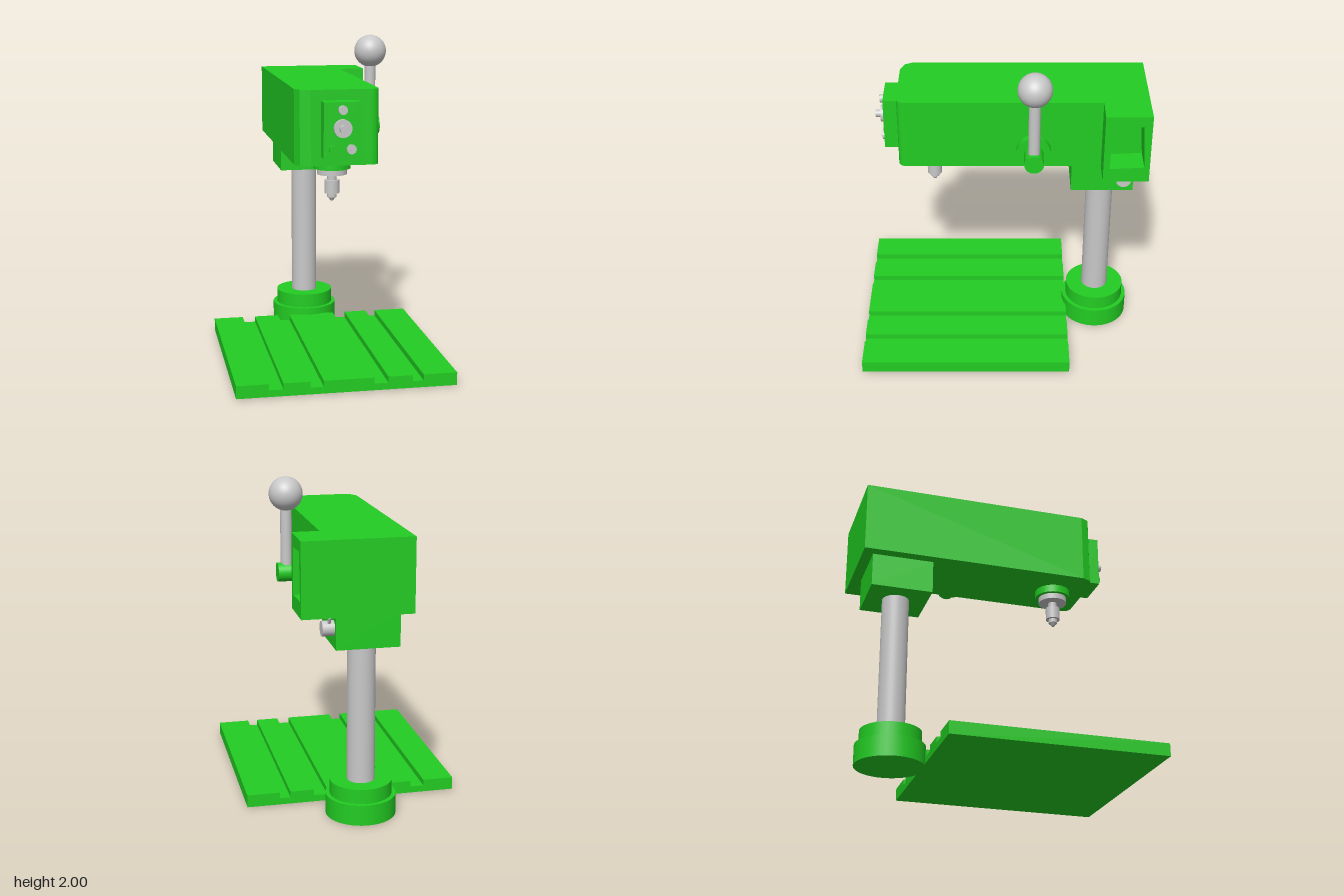
import * as THREE from 'three';

const green = new THREE.MeshStandardMaterial({ color: 0x22cc22 });
green.name = 'green paint';
const steel = new THREE.MeshStandardMaterial({ color: 0xc8c8c8 });
steel.name = 'bare steel';

export function createModel() {
  const model = new THREE.Group();
  model.name = 'drillPress';

  const add = (name, geometry, material, x = 0, y = 0, z = 0) => {
    const mesh = new THREE.Mesh(geometry, material);
    mesh.name = name;
    mesh.position.set(x, y, z);
    model.add(mesh);
    return mesh;
  };
  // Box given by its limits on each axis
  const box = (name, material, [x0, x1], [y0, y1], [z0, z1]) =>
    add(name, new THREE.BoxGeometry(x1 - x0, y1 - y0, z1 - z0), material,
      (x0 + x1) / 2, (y0 + y1) / 2, (z0 + z1) / 2);
  // Cylinder running along an axis from a to b; u, v are its other two coordinates in xyz order
  const rod = (name, material, axis, r, a, b, u, v, rEnd = r) => {
    const mesh = add(name, new THREE.CylinderGeometry(rEnd, r, b - a, 40), material);
    const m = (a + b) / 2;
    if (axis === 'x') { mesh.rotation.z = -Math.PI / 2; mesh.position.set(m, u, v); }
    if (axis === 'y') mesh.position.set(u, m, v);
    if (axis === 'z') { mesh.rotation.x = Math.PI / 2; mesh.position.set(u, v, m); }
    return mesh;
  };
  const extrude = (shape, depth) =>
    new THREE.ExtrudeGeometry(shape, { depth, bevelEnabled: false, curveSegments: 8 });

  // Slotted work table
  const table = new THREE.Shape();
  table.moveTo(-0.657, 0.005);
  table.lineTo(0.657, 0.005);
  table.lineTo(0.657, 0.083);
  const slots = [[0.388, 0.453], [0.157, 0.24], [-0.224, -0.145], [-0.466, -0.382]];
  for (const [a, b] of slots) {
    table.lineTo(b, 0.083);
    table.lineTo(b, 0.046);
    table.lineTo(a, 0.046);
    table.lineTo(a, 0.083);
  }
  table.lineTo(-0.657, 0.083);
  add('table', extrude(table, 1.32), green, 0, 0, -0.44);

  // Column and its foot
  const cx = -0.01, cz = -0.63;
  rod('columnFoot', green, 'y', 0.214, 0, 0.128, cx, cz);
  rod('columnSocket', green, 'y', 0.188, 0.128, 0.218, cx, cz);
  rod('column', steel, 'y', 0.085, 0.218, 1.09, cx, cz);

  // Clamp block with its tightening knob
  box('clampBlock', green, [-0.195, 0.185], [1.09, 1.3], [-0.82, -0.437]);
  rod('clampKnob', steel, 'x', 0.045, 0.185, 0.257, 1.207, -0.753);
  const pin = add('clampPin', new THREE.CylinderGeometry(0.01, 0.01, 0.09, 16), steel, 0.216, 1.242, -0.774);
  pin.rotation.x = -0.52;

  // Head, drawn from above (shape y is -z) with eased front corners
  const head = new THREE.Shape();
  head.moveTo(-0.261, 0.885);
  head.lineTo(-0.261, -0.54);
  head.lineTo(-0.235, -0.592);
  head.lineTo(-0.175, -0.617);
  head.lineTo(0.18, -0.617);
  head.quadraticCurveTo(0.235, -0.617, 0.235, -0.562);
  head.lineTo(0.235, 0.885);
  add('head', extrude(head, 0.445), green, 0, 1.3, 0).rotation.x = -Math.PI / 2;

  // Rear side housing with a recess (shape x is -z)
  const housing = new THREE.Shape();
  housing.moveTo(0.61, 1.3);
  housing.lineTo(0.885, 1.3);
  housing.lineTo(0.885, 1.745);
  housing.lineTo(0.61, 1.745);
  housing.closePath();
  housing.holes.push(new THREE.Path([
    [0.648, 1.387], [0.652, 1.668], [0.833, 1.678], [0.853, 1.397],
  ].map(([x, y]) => new THREE.Vector2(x, y))));
  add('sideHousing', extrude(housing, 0.163), green, 0.235).rotation.y = Math.PI / 2;

  // Feed lever
  rod('leverFlange', green, 'x', 0.104, 0.235, 0.283, 1.42, -0.2);
  rod('leverHub', green, 'x', 0.058, 0.283, 0.41, 1.42, -0.2);
  rod('leverArm', steel, 'y', 0.035, 1.43, 1.85, 0.354, -0.2);
  add('leverBall', new THREE.SphereGeometry(0.102, 40, 28), steel, 0.354, 1.898, -0.2);

  // Control panel
  box('controlPanel', green, [-0.115, 0.107], [1.355, 1.683], [0.61, 0.707]);
  rod('panelLamp', steel, 'z', 0.026, 0.707, 0.731, -0.005, 1.638);
  box('lampSlot', steel, [-0.009, -0.001], [1.614, 1.662], [0.731, 0.735]);
  rod('speedDial', steel, 'z', 0.053, 0.707, 0.731, -0.005, 1.532);
  rod('dialStem', steel, 'z', 0.023, 0.731, 0.763, -0.005, 1.532);
  rod('startButton', green, 'z', 0.028, 0.707, 0.725, -0.058, 1.41);
  rod('stopButton', steel, 'z', 0.028, 0.707, 0.722, 0.047, 1.41);
  rod('stopButtonCap', steel, 'z', 0.01, 0.722, 0.729, 0.047, 1.41);

  // Spindle and chuck
  const sx = -0.012, sz = 0.414;
  rod('spindleCollar', green, 'y', 0.112, 1.252, 1.3, sx, sz);
  rod('spindleFlange', steel, 'y', 0.09, 1.216, 1.252, sx, sz);
  rod('spindleNeck', steel, 'y', 0.028, 1.18, 1.216, sx, sz);
  rod('chuckBody', steel, 'y', 0.045, 1.1, 1.18, sx, sz);
  rod('chuckNose', steel, 'y', 0.028, 1.074, 1.1, sx, sz);
  rod('chuckTip', steel, 'y', 0.01, 1.054, 1.074, sx, sz, 0.022);

  return model;
}
